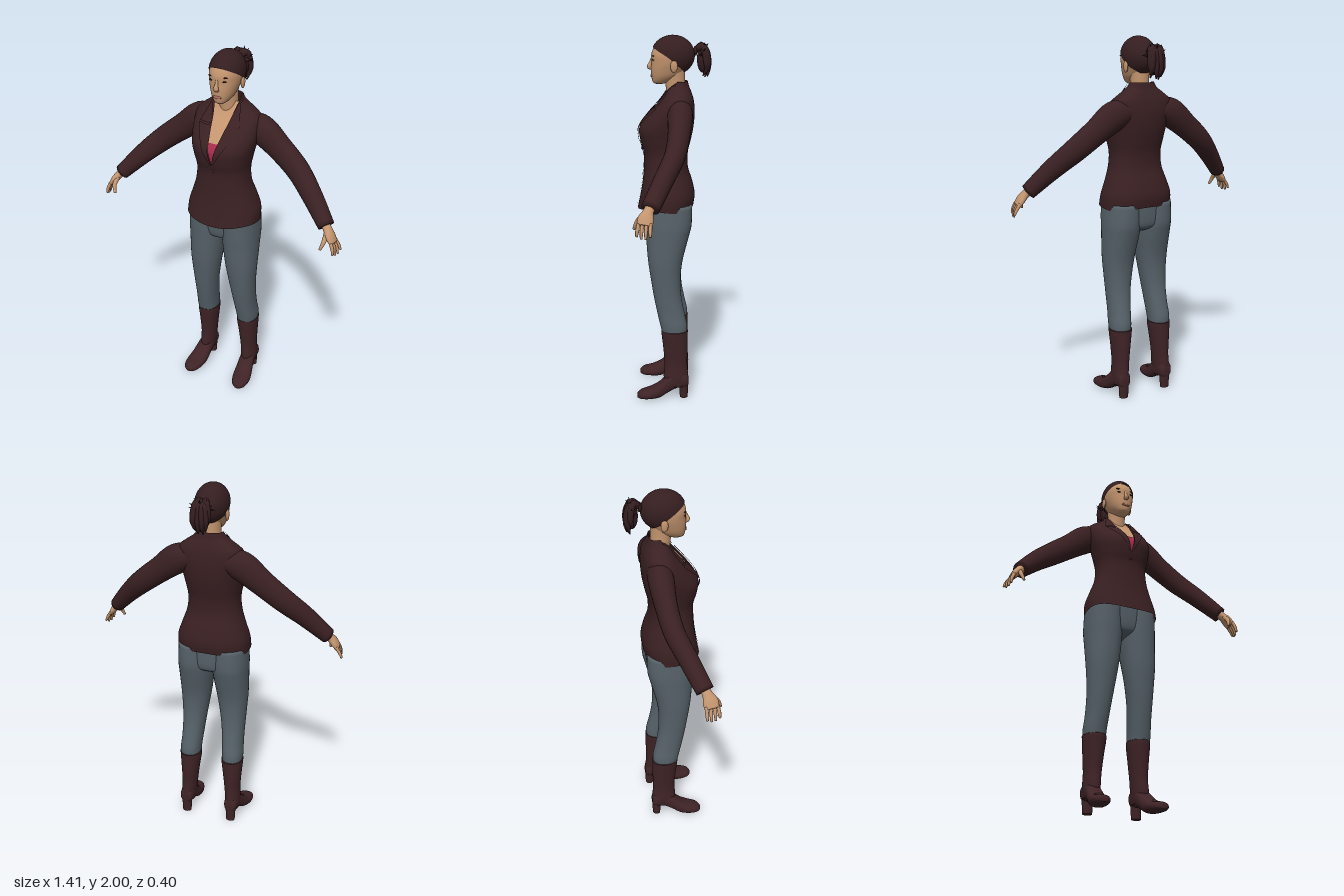
import * as THREE from 'three';

const mat = (name, color, side = THREE.FrontSide) => {
  const m = new THREE.MeshStandardMaterial({ color, side });
  m.name = name;
  return m;
};

// Catmull-Rom through rows of numbers, t in 0..1
function sample(rows, t) {
  const n = rows.length - 1, f = Math.min(t, 0.999999) * n, i = Math.floor(f), k = f - i;
  const [a, b, c, d] = [rows[Math.max(i - 1, 0)], rows[i], rows[i + 1], rows[Math.min(i + 2, n)]];
  return b.map((_, q) => b[q] + 0.5 * k * (c[q] - a[q] + k * (2 * a[q] - 5 * b[q] + 4 * c[q] - d[q] + k * (3 * (b[q] - c[q]) + d[q] - a[q]))));
}

// Smooth grid from point(u, v); closed wraps v, caps adds a fan at both ends
function grid(nu, nv, point, closed = false, caps = false) {
  const pos = [], idx = [], w = closed ? nv : nv + 1;
  for (let i = 0; i <= nu; i++) for (let j = 0; j < w; j++) pos.push(...point(i / nu, j / nv));
  for (let i = 0; i < nu; i++) for (let j = 0; j < nv; j++) {
    const k = (j + 1) % w, a = i * w + j, b = i * w + k, c = a + w, d = b + w;
    idx.push(a, b, d, a, d, c);
  }
  if (caps) for (const r of [0, nu]) {
    const c = [0, 0, 0], id = pos.length / 3;
    for (let j = 0; j < w; j++) for (let q = 0; q < 3; q++) c[q] += pos[(r * w + j) * 3 + q] / w;
    pos.push(...c);
    for (let j = 0; j < w; j++) {
      const a = r * w + j, b = r * w + (j + 1) % w;
      idx.push(id, ...(r ? [a, b] : [b, a]));
    }
  }
  const g = new THREE.BufferGeometry();
  g.setAttribute('position', new THREE.Float32BufferAttribute(pos, 3));
  g.setIndex(idx);
  g.computeVertexNormals();
  return g;
}

const spow = (v, p) => Math.sign(v) * Math.abs(v) ** (2 / p);

// Row: y, centre x, half width, front z, back z
function ring([y, cx, rx, zf, zb], a, p = 2, off = 0) {
  return [cx + (rx + off) * spow(Math.sin(a), p), y, (zf + zb) / 2 + ((zf - zb) / 2 + off) * spow(Math.cos(a), p)];
}
const loft = (rows, p = 2, nu = 32, nv = 32) =>
  grid(nu, nv, (u, v) => ring(sample(rows, u), v * 2 * Math.PI, p), true, true);

// Tapered limb. Row: x, y, z, radius along ref, radius across
function limb(rows, nu = 20, nv = 18, ref = new THREE.Vector3(0, 0, 1)) {
  return grid(nu, nv, (u, v) => {
    const s = sample(rows, u), e = 0.01;
    const p0 = sample(rows, Math.max(u - e, 0)), p1 = sample(rows, Math.min(u + e, 1));
    const T = new THREE.Vector3(p1[0] - p0[0], p1[1] - p0[1], p1[2] - p0[2]).normalize();
    const N = ref.clone().addScaledVector(T, -ref.dot(T)).normalize(), B = T.clone().cross(N);
    const a = v * 2 * Math.PI;
    return new THREE.Vector3(s[0], s[1], s[2])
      .addScaledVector(N, s[3] * Math.cos(a)).addScaledVector(B, s[4] * Math.sin(a)).toArray();
  }, true, true);
}

const blob = (x, y, z, rx, ry, rz) => new THREE.SphereGeometry(1, 20, 14).scale(rx, ry, rz).translate(x, y, z);

function flipX(geo) {
  const g = geo.clone().scale(-1, 1, 1), a = g.index.array;
  for (let i = 0; i < a.length; i += 3) [a[i], a[i + 1]] = [a[i + 1], a[i]];
  g.computeVertexNormals();
  return g;
}

export function createModel() {
  const model = new THREE.Group();
  model.name = 'woman';
  const cloth = mat('jacket brown', 0x3a2022, THREE.DoubleSide);
  const hairM = mat('hair brown', 0x351e20, THREE.DoubleSide);
  const leather = mat('boot brown', 0x3f2326);
  const denim = mat('trouser grey', 0x566269);
  const skin = mat('skin', 0xc4956f);
  const topM = mat('top red', 0xa82c4c, THREE.DoubleSide);
  const lipM = mat('lip', 0xa9705a);
  const eyeM = mat('eye dark', 0x2a1a16);
  const add = (name, geo, m) => {
    const mesh = new THREE.Mesh(geo, m);
    mesh.name = name;
    model.add(mesh);
  };
  const pair = (name, geo, m) => {
    add('left ' + name, geo, m);
    add('right ' + name, flipX(geo), m);
  };

  // Jacket body, open in a V at the front
  const torso = [
    [1.085, 0, 0.202, 0.197, -0.107], [1.15, 0, 0.199, 0.182, -0.114], [1.22, 0, 0.176, 0.17, -0.1],
    [1.3, 0, 0.15, 0.163, -0.076], [1.38, 0, 0.143, 0.163, -0.076], [1.45, 0, 0.155, 0.181, -0.092],
    [1.52, 0, 0.17, 0.183, -0.106], [1.6, 0, 0.182, 0.125, -0.112], [1.66, 0, 0.176, 0.07, -0.106],
    [1.7, 0, 0.13, 0.044, -0.094], [1.73, 0, 0.088, 0.03, -0.082], [1.76, 0, 0.068, 0.012, -0.074]];
  const P = 2.3;
  const atY = (y) => {
    let lo = 0, hi = 1;
    for (let i = 0; i < 30; i++) {
      const m = (lo + hi) / 2;
      if (sample(torso, m)[0] < y) lo = m; else hi = m;
    }
    return sample(torso, lo);
  };
  const angle = (row, x) => Math.sign(x) * Math.asin(Math.min(Math.abs(x) / row[2], 0.97) ** (P / 2));
  const vee = (y) => Math.max(0, (y - 1.435) * 0.22);
  add('jacket body', grid(72, 64, (u, v) => {
    const row = sample(torso, u), a = angle(row, vee(row[0]));
    const p = ring(row, a + v * 2 * (Math.PI - a), P);
    p[1] -= 0.008 * Math.cos(6 * v * Math.PI) * Math.max(0, 1 - u * 10);
    return p;
  }), cloth);

  // Panels that follow the front of the body
  const panel = (y0, y1, xa, xb, off) => grid(20, 12, (u, v) => {
    const y = y0 + (y1 - y0) * u, row = atY(y), x = xa(y) + (xb(y) - xa(y)) * v;
    return ring(row, angle(row, x), P, off);
  });
  pair('lapel', panel(1.435, 1.625, vee, (y) => vee(y) + 0.005 + 0.36 * (y - 1.435), 0.008), cloth);
  pair('collar', panel(1.632, 1.755, vee, (y) => Math.max(vee(y) + 0.008, 0.11 - 0.38 * (y - 1.632)), 0.009), cloth);
  add('jacket front overlap', panel(1.09, 1.437, () => -0.012, () => 0.014, 0.004), cloth);
  add('jacket button', blob(0.002, 1.4, 0.171, 0.008, 0.008, 0.006), leather);
  const wide = (y) => vee(y) + 0.022;
  add('chest', panel(1.43, 1.735, (y) => -wide(y), wide, -0.012), skin);
  add('top', panel(1.42, 1.55, (y) => -wide(y), wide, -0.007), topM);

  // Sleeves and hands
  pair('sleeve', limb([[0.08, 1.612, -0.035, 0.06, 0.055], [0.175, 1.59, -0.035, 0.066, 0.08], [0.285, 1.51, -0.029, 0.057, 0.07],
    [0.4, 1.42, -0.008, 0.053, 0.064], [0.505, 1.325, 0.044, 0.05, 0.055], [0.615, 1.21, 0.105, 0.046, 0.042]], 30, 24), cloth);
  pair('palm', limb([[0.6, 1.225, 0.1, 0.026, 0.024], [0.625, 1.2, 0.113, 0.026, 0.022],
    [0.648, 1.17, 0.125, 0.039, 0.02], [0.668, 1.14, 0.13, 0.037, 0.014]]), skin);
  for (let i = 0; i < 4; i++) {
    const z = 0.102 + 0.019 * i, drop = [0.012, 0, 0, 0.01][i];
    pair('finger ' + (i + 1), limb([[0.664, 1.15, z, 0.009, 0.01], [0.687 - 0.003 * i, 1.117, z + 0.002 * i, 0.009, 0.009],
      [0.699 - 0.006 * i, 1.08 + drop, z + 0.003 * i, 0.006, 0.006]], 8, 8), skin);
  }
  pair('thumb', limb([[0.628, 1.188, 0.13, 0.013, 0.013], [0.63, 1.155, 0.165, 0.012, 0.012],
    [0.618, 1.112, 0.184, 0.007, 0.007]], 8, 10), skin);

  // Trousers
  pair('trouser leg', loft([[0.38, 0.128, 0.056, 0.062, -0.073], [0.43, 0.128, 0.059, 0.074, -0.075], [0.5, 0.123, 0.06, 0.09, -0.06],
    [0.6, 0.118, 0.066, 0.11, -0.042], [0.7, 0.113, 0.076, 0.126, -0.039], [0.8, 0.108, 0.087, 0.14, -0.05],
    [0.93, 0.101, 0.097, 0.15, -0.083], [1.0, 0.1, 0.099, 0.156, -0.098], [1.11, 0.098, 0.096, 0.163, -0.1]], 2.2), denim);
  add('trouser hips', loft([[0.945, 0, 0.05, 0.06, -0.02], [0.965, 0, 0.1, 0.115, -0.065],
    [1.0, 0, 0.15, 0.14, -0.088], [1.12, 0, 0.18, 0.155, -0.095]], 2.4), denim);

  // Boots: shaft, foot and heel
  pair('boot shaft', loft([[0.07, 0.138, 0.036, 0.04, -0.08], [0.12, 0.138, 0.042, 0.055, -0.083], [0.2, 0.133, 0.044, 0.05, -0.077],
    [0.3, 0.13, 0.053, 0.058, -0.079], [0.37, 0.128, 0.061, 0.066, -0.079], [0.398, 0.128, 0.062, 0.067, -0.08]]), leather);
  // Row: z, centre x, half width, sole y, top y
  const foot = [[-0.084, 0.138, 0.02, 0.075, 0.12], [-0.07, 0.138, 0.036, 0.062, 0.15], [-0.02, 0.138, 0.04, 0.055, 0.16],
    [0.03, 0.142, 0.044, 0.03, 0.135], [0.08, 0.149, 0.051, 0.004, 0.088], [0.13, 0.156, 0.053, 0, 0.06],
    [0.18, 0.161, 0.04, 0, 0.046], [0.202, 0.163, 0.016, 0.006, 0.03]];
  pair('boot foot', grid(28, 24, (u, v) => {
    const [z, cx, rx, y0, y1] = sample(foot, u), a = v * 2 * Math.PI;
    return [cx + rx * spow(Math.cos(a), 2.4), Math.max(0, (y0 + y1) / 2 + (y1 - y0) / 2 * spow(Math.sin(a), 2.4)), z];
  }, true, true), leather);
  pair('boot heel', new THREE.CylinderGeometry(0.031, 0.026, 0.1, 16).scale(1, 1, 0.85).translate(0.138, 0.05, -0.058), leather);

  // Neck, head and face
  add('neck', loft([[1.64, 0, 0.05, 0.035, -0.055], [1.72, 0, 0.05, 0.042, -0.06], [1.77, 0, 0.05, 0.047, -0.06],
    [1.83, 0, 0.053, 0.05, -0.06]]), skin);
  add('head', loft([[1.746, 0, 0.018, 0.1, 0.055], [1.757, 0, 0.036, 0.113, 0.02], [1.785, 0, 0.056, 0.119, -0.03],
    [1.82, 0, 0.069, 0.121, -0.06], [1.86, 0, 0.079, 0.119, -0.085], [1.9, 0, 0.081, 0.119, -0.095],
    [1.94, 0, 0.07, 0.1, -0.085], [1.98, 0, 0.035, 0.05, -0.04]], 2.15), skin);
  add('nose', limb([[0, 1.885, 0.113, 0.006, 0.006], [0, 1.855, 0.123, 0.009, 0.009], [0, 1.835, 0.129, 0.013, 0.014],
    [0, 1.822, 0.119, 0.006, 0.012]], 12, 12), skin);
  add('lips', blob(0, 1.788, 0.117, 0.024, 0.008, 0.008), lipM);
  pair('ear', blob(0.083, 1.842, -0.002, 0.009, 0.032, 0.019), skin);
  pair('eye', blob(0.034, 1.872, 0.1085, 0.015, 0.004, 0.006), eyeM);
  pair('eyebrow', blob(0.036, 1.893, 0.107, 0.02, 0.003, 0.006), hairM);

  // Hair cap with a hairline that drops from forehead to nape
  add('hair', grid(20, 48, (u, v) => {
    const a = v * 2 * Math.PI, c = Math.cos(a);
    const edge = c > 0 ? 1.866 + 0.072 * c ** 0.8 : 1.866 - 0.062 * (-c) ** 0.7;
    const phi = Math.acos((edge - 1.895) / 0.105) * (1 - u * 0.999);
    return [0.089 * Math.sin(phi) * Math.sin(a), 1.895 + 0.105 * Math.cos(phi), 0.005 + 0.116 * Math.sin(phi) * c];
  }, true), hairM);

  // Ponytail: core and fanned strands
  add('hair tie', new THREE.TorusGeometry(0.018, 0.008, 8, 18).translate(0, 1.918, -0.114), hairM);
  add('ponytail core', blob(0, 1.875, -0.154, 0.036, 0.072, 0.032), hairM);
  for (let i = 0; i < 11; i++) {
    const s = i / 5 - 1, k = (i * 7) % 11 / 10;
    add('ponytail strand ' + (i + 1), limb([[0, 1.918, -0.108, 0.012, 0.012],
      [s * 0.025, 1.945 - 0.02 * k, -0.15 - 0.015 * k, 0.018, 0.018],
      [s * 0.04, 1.87 - 0.03 * k, -0.165 - 0.018 * k, 0.016, 0.016],
      [s * 0.034, 1.825 - 0.045 * k, -0.15 - 0.035 * ((i * 5) % 11) / 10, 0.003, 0.003]], 14, 8, new THREE.Vector3(1, 0, 0)), hairM);
  }
  // Flicked tips around the tie
  for (let i = 0; i < 7; i++) {
    const a = (i - 3) * 0.5;
    const tip = new THREE.ConeGeometry(0.012, 0.045, 6).translate(0, 0.05, 0).rotateZ(-a).rotateX(-0.35 - 0.25 * (i % 2));
    add('ponytail tip ' + (i + 1), tip.translate(0, 1.9, -0.142), hairM);
  }
  return model;
}
